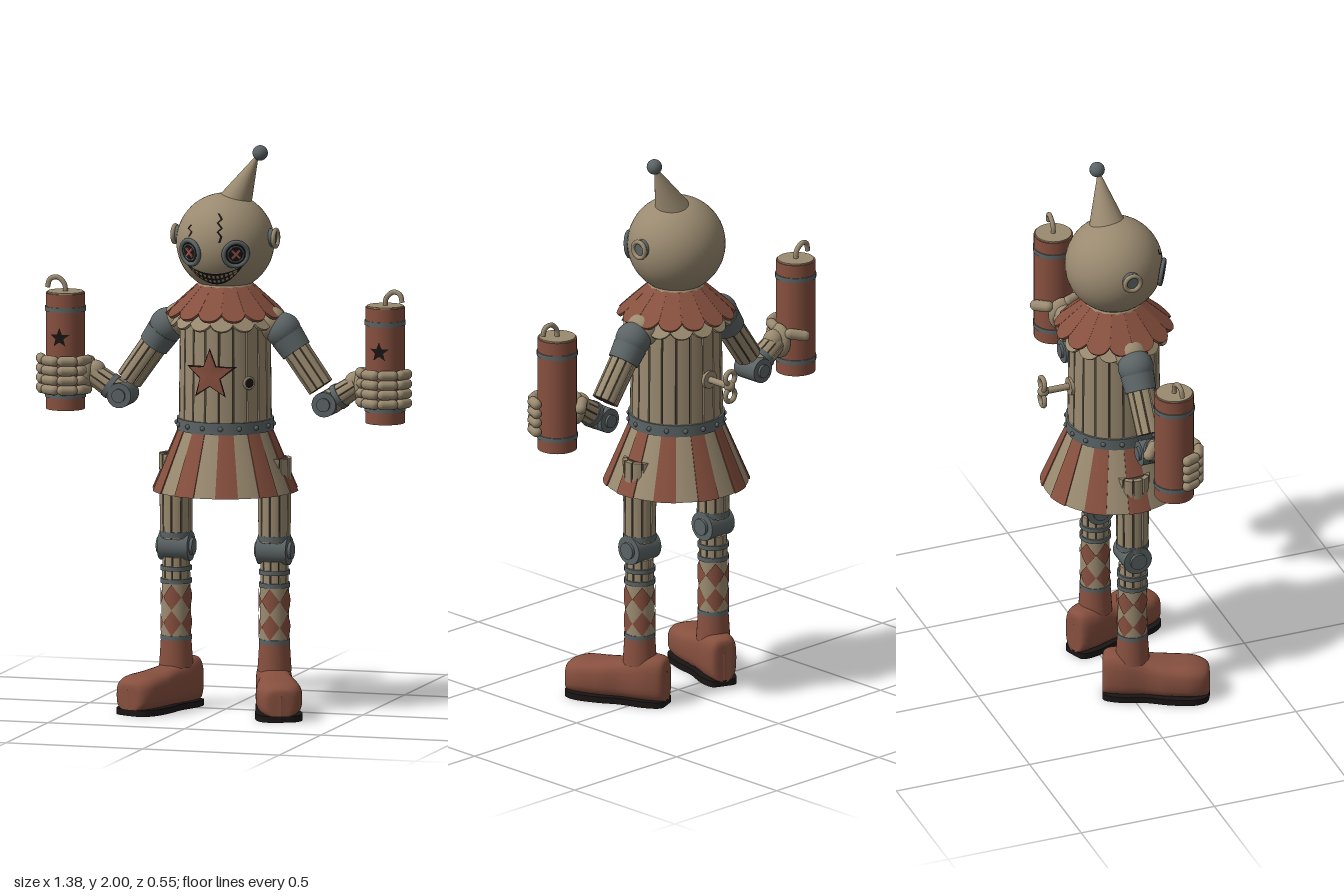
import * as THREE from 'three';
import { mergeGeometries } from 'three/addons/utils/BufferGeometryUtils.js';
import { ParametricGeometry } from 'three/addons/geometries/ParametricGeometry.js';

const mat = (name, color) => Object.assign(new THREE.MeshStandardMaterial({ color }), { name });
const tan = mat('worn wood', 0x9a8a70), red = mat('faded red', 0x87503f), grey = mat('dull steel', 0x5c6465);
const dark = mat('wood gap', 0x3d342a), black = mat('black', 0x1b1515), rust = mat('stitch red', 0xa05a50);
const V = (x, y, z) => new THREE.Vector3(x, y, z);

function add(parent, name, geo, material, x = 0, y = 0, z = 0) {
  const m = new THREE.Mesh(geo, material);
  m.name = name;
  m.position.set(x, y, z);
  parent.add(m);
  return m;
}
function group(parent, name, x = 0, y = 0, z = 0) {
  const g = new THREE.Group();
  g.name = name;
  g.position.set(x, y, z);
  parent.add(g);
  return g;
}
const cyl = (rt, rb, h, n = 24) => new THREE.CylinderGeometry(rt, rb, h, n);
const ball = (r) => new THREE.SphereGeometry(r, 24, 16);

// Apply a rule to every vertex
function warp(geo, rule) {
  const p = geo.attributes.position, v = new THREE.Vector3();
  for (let i = 0; i < p.count; i++) {
    v.fromBufferAttribute(p, i);
    rule(v, i);
    p.setXYZ(i, v.x, v.y, v.z);
  }
  geo.computeVertexNormals();
  return geo;
}

// Ring of upright slats from y = 0 to h, colours alternating through mats
function slatRing(parent, name, n, gap, rb, rt, h, t, mats) {
  const step = 2 * Math.PI / n, sets = mats.map(() => []);
  for (let i = 0; i < n; i++) {
    const k = i % mats.length, a = (i - 0.5) * step + gap / 2, b = a + step - gap;
    const r = rb - k * 0.005, s = new THREE.Shape();
    s.absarc(0, 0, r, a, b, false);
    s.absarc(0, 0, r - t, b, a, true);
    const g = new THREE.ExtrudeGeometry(s, { depth: h, bevelEnabled: false, curveSegments: 3 }).rotateX(-Math.PI / 2);
    sets[k].push(warp(g, (v) => {
      const f = 1 + (rt / rb - 1) * v.y / h;
      v.x *= f; v.z *= f;
    }));
  }
  sets.forEach((s, k) => add(parent, name, mergeGeometries(s), mats[k]));
}

// Slatted limb between two points
function limb(parent, name, p, q, rb, rt, n = 10) {
  const g = group(parent, name, p.x, p.y, p.z), d = q.clone().sub(p), h = d.length();
  g.quaternion.setFromUnitVectors(V(0, 1, 0), d.normalize());
  add(g, name + 'Core', cyl(rt * 0.88, rb * 0.88, h * 0.99), dark, 0, h / 2);
  slatRing(g, name + 'Slats', n, 0.1, rb, rt, h, rb * 0.25, [tan]);
  return g;
}

// Five-pointed star wrapped on the front of an upright cylinder
function star(r, R) {
  return warp(new THREE.CircleGeometry(r, 10, Math.PI / 2), (v, i) => {
    if (i > 0 && i % 2 === 0) v.multiplyScalar(0.42);
    v.z = Math.sqrt(R * R - v.x * v.x);
  });
}

// Thin strip between two rows of [x, y] points laid on the head
const HEAD = 0.172;
function strip(a, b, lift) {
  const R = HEAD + lift, pos = [], idx = [];
  a.forEach((p, i) => [p, b[i]].forEach(([x, y]) => pos.push(x, y, Math.sqrt(R * R - x * x - y * y))));
  for (let i = 0; i < a.length - 1; i++) idx.push(2 * i, 2 * i + 1, 2 * i + 2, 2 * i + 1, 2 * i + 3, 2 * i + 2);
  const g = new THREE.BufferGeometry();
  g.setAttribute('position', new THREE.Float32BufferAttribute(pos, 3));
  g.setIndex(idx);
  g.computeVertexNormals();
  return g;
}

function buildHead(root) {
  const head = group(root, 'head', 0, 1.655, 0);
  add(head, 'skull', new THREE.SphereGeometry(HEAD, 48, 32), tan);
  // Leaning hat with bobble
  const hat = new THREE.ConeGeometry(0.075, 0.2, 32, 1);
  add(head, 'hat', warp(hat, (v) => { const t = (v.y + 0.1) / 0.2; v.x += 0.012 + t * 0.108; v.z -= 0.012; }), tan, 0, 0.22);
  add(head, 'bobble', ball(0.027), grey, 0.123, 0.317, -0.015);
  for (const s of [-1, 1]) {
    // Ear rings
    const ear = group(head, 'ear', s * 0.172, 0.02, 0);
    ear.rotation.y = s * Math.PI / 2;
    add(ear, 'earRim', new THREE.TorusGeometry(0.029, 0.008, 10, 24), tan, 0, 0, 0.012);
    add(ear, 'earPlate', cyl(0.03, 0.034, 0.02).rotateX(Math.PI / 2), grey);
    // Button eyes with crossed stitches
    const dir = V(s * 0.083, -0.02, 0.148).normalize(), eye = group(head, 'eye');
    eye.position.copy(dir).multiplyScalar(0.167);
    eye.quaternion.setFromUnitVectors(V(0, 0, 1), dir);
    add(eye, 'eyeDisc', cyl(0.044, 0.05, 0.014).rotateX(Math.PI / 2), black);
    add(eye, 'eyeRim', new THREE.TorusGeometry(0.043, 0.008, 10, 28), grey, 0, 0, 0.005);
    add(eye, 'eyeInnerRim', new THREE.TorusGeometry(0.028, 0.003, 8, 24), grey, 0, 0, 0.008);
    for (const t of [-1, 1]) add(eye, 'stitch', new THREE.BoxGeometry(0.042, 0.009, 0.006), rust, 0, 0, 0.009).rotation.z = t * Math.PI / 4;
  }
  // Grin and two rows of teeth
  const edge = (x, f) => -0.062 - (0.035 + 0.035 * f) * (1 - (x / 0.105) ** 2);
  const band = (x0, x1, f0, f1, n, lift) => {
    const xs = Array.from({ length: n + 1 }, (_, i) => x0 + (x1 - x0) * i / n);
    return strip(xs.map((x) => [x, edge(x, f0)]), xs.map((x) => [x, edge(x, f1)]), lift);
  };
  add(head, 'mouth', band(-0.105, 0.105, -0.1, 1.1, 24, 0.003), black);
  const teeth = [];
  for (let i = -5; i <= 5; i++) for (const f of [0.1, 0.57])
    teeth.push(band(i * 0.0155 - 0.006, i * 0.0155 + 0.006, f, f + 0.36, 2, 0.006));
  add(head, 'teeth', mergeGeometries(teeth), tan);
  // Cracks
  const crack = (pts, w) => strip(pts.map(([x, y]) => [x + w, y]), pts.map(([x, y]) => [x - w, y]), 0.003);
  add(head, 'foreheadCrack', crack([[0.015, 0.118], [0.03, 0.1], [0.018, 0.088], [0.035, 0.07], [0.022, 0.058], [0.036, 0.042], [0.03, 0.02]], 0.004), black);
  add(head, 'browCrack', crack([[-0.083, 0.075], [-0.094, 0.062], [-0.078, 0.052], [-0.088, 0.035]], 0.004), black);
}

function buildBody(root) {
  const body = group(root, 'body');
  add(body, 'torsoCore', cyl(0.15, 0.15, 0.42, 32), dark, 0, 1.23);
  slatRing(group(body, 'torso', 0, 1.02, 0), 'torsoSlats', 20, 0.035, 0.163, 0.158, 0.42, 0.02, [tan]);
  add(body, 'neck', cyl(0.09, 0.15, 0.09), tan, 0, 1.475);
  // Ruffled collar in two layers of petals
  const petals = (tilt, y, off) => {
    const s = new THREE.Shape();
    s.moveTo(-0.023, 0).lineTo(-0.044, -0.115);
    s.quadraticCurveTo(-0.034, -0.155, 0, -0.155).quadraticCurveTo(0.034, -0.155, 0.044, -0.115);
    s.lineTo(0.023, 0);
    return mergeGeometries(Array.from({ length: 14 }, (_, i) =>
      new THREE.ExtrudeGeometry(s, { depth: 0.01, bevelEnabled: false, curveSegments: 5 })
        .rotateX(tilt).translate(0, y, 0.09).rotateY((i + off) * Math.PI / 7)));
  };
  add(body, 'collarUpper', petals(-0.82, 1.5, 0), red);
  add(body, 'collarLower', petals(-0.66, 1.48, 0.5), tan);
  // Chest star and knot hole
  add(body, 'starOutline', star(0.096, 0.17), black, -0.005, 1.205);
  add(body, 'star', star(0.086, 0.174), red, -0.005, 1.205);
  const hole = group(body, 'knotHole', 0.121, 1.175, 0.112);
  hole.rotation.y = 0.82;
  add(hole, 'holeRim', new THREE.TorusGeometry(0.019, 0.005, 8, 20), tan);
  add(hole, 'holeDisc', cyl(0.019, 0.019, 0.008).rotateX(Math.PI / 2), black);
  // Riveted belt
  add(body, 'belt', cyl(0.17, 0.17, 0.042, 40), grey, 0, 1.015);
  const rivets = [];
  for (let i = 0; i < 16; i++) rivets.push(new THREE.SphereGeometry(0.009, 8, 6).translate(0, 1.015, 0.17).rotateY((i + 0.5) * Math.PI / 8));
  add(body, 'beltRivets', mergeGeometries(rivets), grey);
  // Pleated skirt and pelvis
  slatRing(group(body, 'skirt', 0, 0.78, 0), 'skirtPleats', 20, 0, 0.258, 0.165, 0.22, 0.014, [red, tan]);
  add(body, 'pelvis', cyl(0.12, 0.12, 0.22), tan, 0, 0.885);
  // Wind-up key
  const key = group(body, 'windUpKey', 0, 1.19, -0.16);
  add(key, 'keyPlate', cyl(0.032, 0.032, 0.02).rotateX(Math.PI / 2), tan);
  add(key, 'keyShaft', cyl(0.012, 0.012, 0.11).rotateX(Math.PI / 2), tan, 0, 0, -0.055);
  add(key, 'keyHub', ball(0.02), tan, 0, 0, -0.105);
  for (const s of [-1, 1]) add(key, 'keyLoop', new THREE.TorusGeometry(0.023, 0.009, 8, 20), tan, 0, s * 0.032, -0.108);
}

// One arm, on the +x side
function buildArm(root, name) {
  const arm = group(root, name);
  add(arm, 'shoulderSocket', ball(0.06), tan, 0.165, 1.375);
  add(arm, 'shoulder', ball(0.063), grey, 0.212, 1.35);
  const upper = limb(arm, 'upperArm', V(0.215, 1.345, 0), V(0.35, 1.155, 0), 0.05, 0.048);
  add(upper, 'shoulderCuff', cyl(0.055, 0.06, 0.06), grey, 0, 0.05);
  add(arm, 'elbow', cyl(0.044, 0.044, 0.1).rotateX(Math.PI / 2), grey, 0.375, 1.1);
  for (const s of [-1, 1]) add(arm, 'elbowCap', cyl(0.024, 0.024, 0.015).rotateX(Math.PI / 2), grey, 0.375, 1.1, s * 0.052);
  const fore = limb(arm, 'forearm', V(0.385, 1.105, 0), V(0.485, 1.17, 0), 0.045, 0.04);
  add(fore, 'forearmCuff', cyl(0.046, 0.047, 0.02), grey, 0, 0.04);
  // Hand with curled fingers
  add(arm, 'palm', ball(0.05), tan, 0.503, 1.17).scale.set(0.6, 1.25, 1);
  add(arm, 'wrist', ball(0.036), tan, 0.475, 1.18);
  const thumb = add(arm, 'thumb', new THREE.CapsuleGeometry(0.02, 0.05, 5, 10), tan, 0.53, 1.2, -0.065);
  thumb.rotation.set(0, 0.7, 1.4);
  for (let f = 0; f < 4; f++) for (let k = 0; k < 4; k++) {
    const t = (155 - k * 44) * Math.PI / 180;
    const seg = new THREE.CapsuleGeometry(0.0185, 0.036, 5, 10).rotateZ(Math.PI / 2).rotateY(Math.PI / 2 - t);
    add(arm, 'finger', seg, tan, 0.585 + 0.085 * Math.cos(t), 1.115 + f * 0.034, 0.085 * Math.sin(t));
  }
  // Firework stick
  const stick = group(arm, 'fireStick', 0.585, 1.245, 0);
  add(stick, 'tube', cyl(0.069, 0.069, 0.41, 32), red);
  add(stick, 'lid', cyl(0.064, 0.064, 0.008, 32), tan, 0, 0.206);
  for (const y of [-0.155, 0.15]) add(stick, 'band', cyl(0.072, 0.072, 0.016, 32), grey, 0, y);
  add(stick, 'tubeStar', star(0.036, 0.074), black, 0, 0.053);
  const fuse = new THREE.CatmullRomCurve3([V(0, 0.2, 0), V(0.004, 0.235, 0), V(0.03, 0.258, 0), V(0.056, 0.25, 0.004), V(0.064, 0.222, 0.006)]);
  add(stick, 'fuse', new THREE.TubeGeometry(fuse, 20, 0.009, 8), tan);
  return arm;
}

// One leg, on the +x side
function buildLeg(root, name) {
  const leg = group(root, name, 0.18, 0, 0);
  limb(leg, 'thigh', V(0, 0.6, 0), V(0, 0.9, 0), 0.056, 0.06);
  add(leg, 'thighBand', cyl(0.058, 0.058, 0.02), grey, 0, 0.615);
  add(leg, 'knee', cyl(0.052, 0.052, 0.11).rotateZ(Math.PI / 2), grey, 0, 0.572);
  for (const s of [-1, 1]) add(leg, 'kneeCap', cyl(0.03, 0.03, 0.02).rotateZ(Math.PI / 2), grey, s * 0.056, 0.572);
  limb(leg, 'shinTop', V(0, 0.45, 0), V(0, 0.535, 0), 0.05, 0.048);
  for (const y of [0.495, 0.45, 0.25]) add(leg, 'shinBand', cyl(0.055, 0.055, 0.016), grey, 0, y);
  add(leg, 'shin', cyl(0.05, 0.053, 0.21, 32), tan, 0, 0.35);
  // Diamond pattern wrapped on the shin
  const gems = [];
  for (let i = 0; i < 5; i++) for (const y of [0.395, 0.303])
    gems.push(warp(new THREE.PlaneGeometry(1, 1, 4, 4).rotateZ(Math.PI / 4), (v) => {
      const a = i * Math.PI * 2 / 5 + v.x * 0.88;
      v.set(0.0555 * Math.sin(a), y + v.y * 0.064, 0.0555 * Math.cos(a));
    }));
  add(leg, 'shinDiamonds', mergeGeometries(gems), red);
  add(leg, 'bootCuff', cyl(0.053, 0.06, 0.11, 32), red, 0, 0.2);
  // Boot lofted from [z, half width, top height]
  const boot = group(leg, 'boot');
  boot.rotation.y = 0.38;
  const path = new THREE.CatmullRomCurve3([[-0.105, 0, 0.12], [-0.098, 0.045, 0.17], [-0.04, 0.062, 0.178], [0.05, 0.062, 0.155],
    [0.13, 0.077, 0.143], [0.22, 0.078, 0.135], [0.262, 0.055, 0.118], [0.272, 0, 0.09]].map((p) => V(...p)));
  const pow = (c) => Math.sign(c) * Math.abs(c) ** 0.65;
  add(boot, 'bootUpper', new ParametricGeometry((u, v, out) => {
    const p = path.getPoint(u), a = -v * Math.PI * 2, h = (p.z - 0.015) / 2;
    out.set(Math.max(p.y, 0) * pow(Math.cos(a)), 0.015 + h + h * pow(Math.sin(a)), p.x);
  }, 36, 28), red);
  const side = path.getPoints(28), outline = (s) => side.map((p) => new THREE.Vector2(s * Math.max(p.y, 0) * 1.02, -p.x));
  const sole = new THREE.Shape([...outline(1), ...outline(-1).reverse().slice(1, -1)]);
  add(boot, 'sole', new THREE.ExtrudeGeometry(sole, { depth: 0.022, bevelEnabled: false }).rotateX(-Math.PI / 2), black);
  return leg;
}

export function createModel() {
  const model = new THREE.Group(), root = group(model, 'puppet', 0, 0, 0.01);
  buildHead(root);
  buildBody(root);
  buildArm(root, 'leftArm');
  buildArm(root, 'rightArm').scale.x = -1;
  buildLeg(root, 'leftLeg');
  const right = buildLeg(root, 'rightLeg');
  right.scale.x = -1;
  right.position.x = -0.18;
  return model;
}
